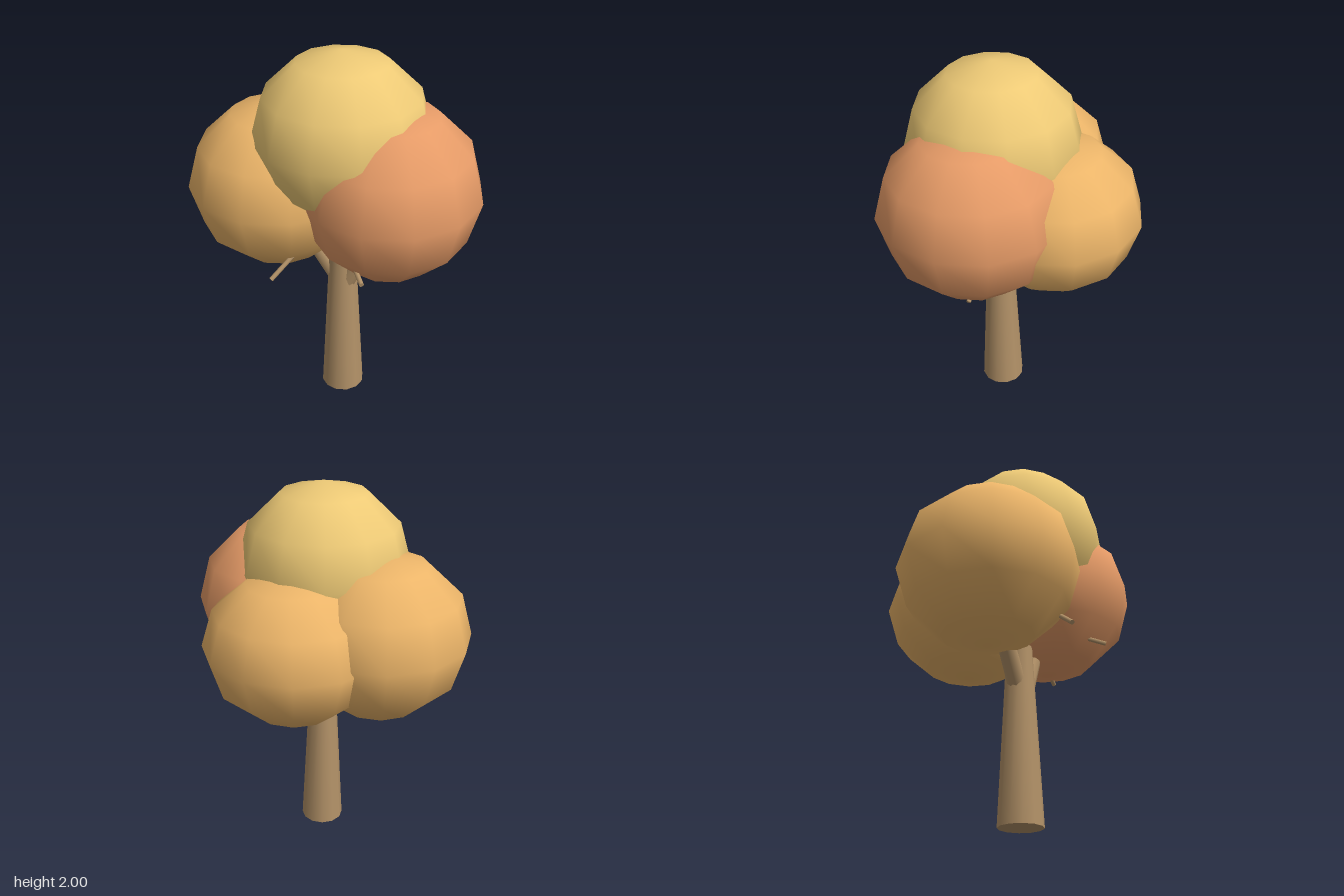
import * as THREE from 'three';

const material = (color) => new THREE.MeshStandardMaterial({ color, roughness: 0.9 });

// Tapered round limb running between two points
function limb(name, from, to, r0, r1, sides, mat) {
  const a = new THREE.Vector3(...from);
  const b = new THREE.Vector3(...to);
  const dir = b.clone().sub(a);
  const mesh = new THREE.Mesh(new THREE.CylinderGeometry(r1, r0, dir.length(), sides), mat);
  mesh.name = name;
  mesh.position.copy(a).add(b).multiplyScalar(0.5);
  mesh.quaternion.setFromUnitVectors(new THREE.Vector3(0, 1, 0), dir.normalize());
  return mesh;
}

export function createModel() {
  const tree = new THREE.Group();
  tree.name = 'tree';
  const bark = material(0xb39268);
  const amber = material(0xecb569);

  // Trunk and the two forking branches
  tree.add(
    limb('trunk', [0.043, 0, 0.11], [0.043, 0.95, 0.115], 0.117, 0.068, 12, bark),
    limb('rightBranch', [0.03, 0.7, 0.115], [-0.185, 1.02, 0.115], 0.05, 0.045, 10, bark),
    limb('leftBranch', [0.06, 0.7, 0.125], [0.215, 1.02, 0.13], 0.055, 0.045, 10, bark),
  );

  // Small twigs poking out beneath the foliage
  const twigs = [
    [[-0.08, 1.05, 0.37], [-0.195, 0.91, 0.515]],
    [[0.17, 1.03, 0.37], [0.275, 0.988, 0.515]],
    [[0.37, 0.99, 0.11], [0.51, 0.91, 0.11]],
  ];
  for (const [a, b] of twigs) tree.add(limb('twig', a, b, 0.012, 0.012, 8, bark));

  // Coarse, smoothly shaded foliage balls: centre, radii, material
  const balls = [
    ['topFoliage', [0.048, 1.57, 0.135], [0.45, 0.43, 0.445], material(0xeeca76)],
    ['leftFoliage', [0.307, 1.325, 0.158], [0.453, 0.45, 0.475], material(0xe69b67)],
    ['rightFoliage', [-0.303, 1.255, 0.109], [0.462, 0.435, 0.476], amber],
    ['backFoliage', [0.045, 1.227, -0.192], [0.468, 0.397, 0.443], amber],
  ];
  for (const [name, centre, radii, mat] of balls) {
    const ball = new THREE.Mesh(new THREE.SphereGeometry(1, 12, 6).scale(...radii), mat);
    ball.name = name;
    ball.position.set(...centre);
    tree.add(ball);
  }
  return tree;
}
